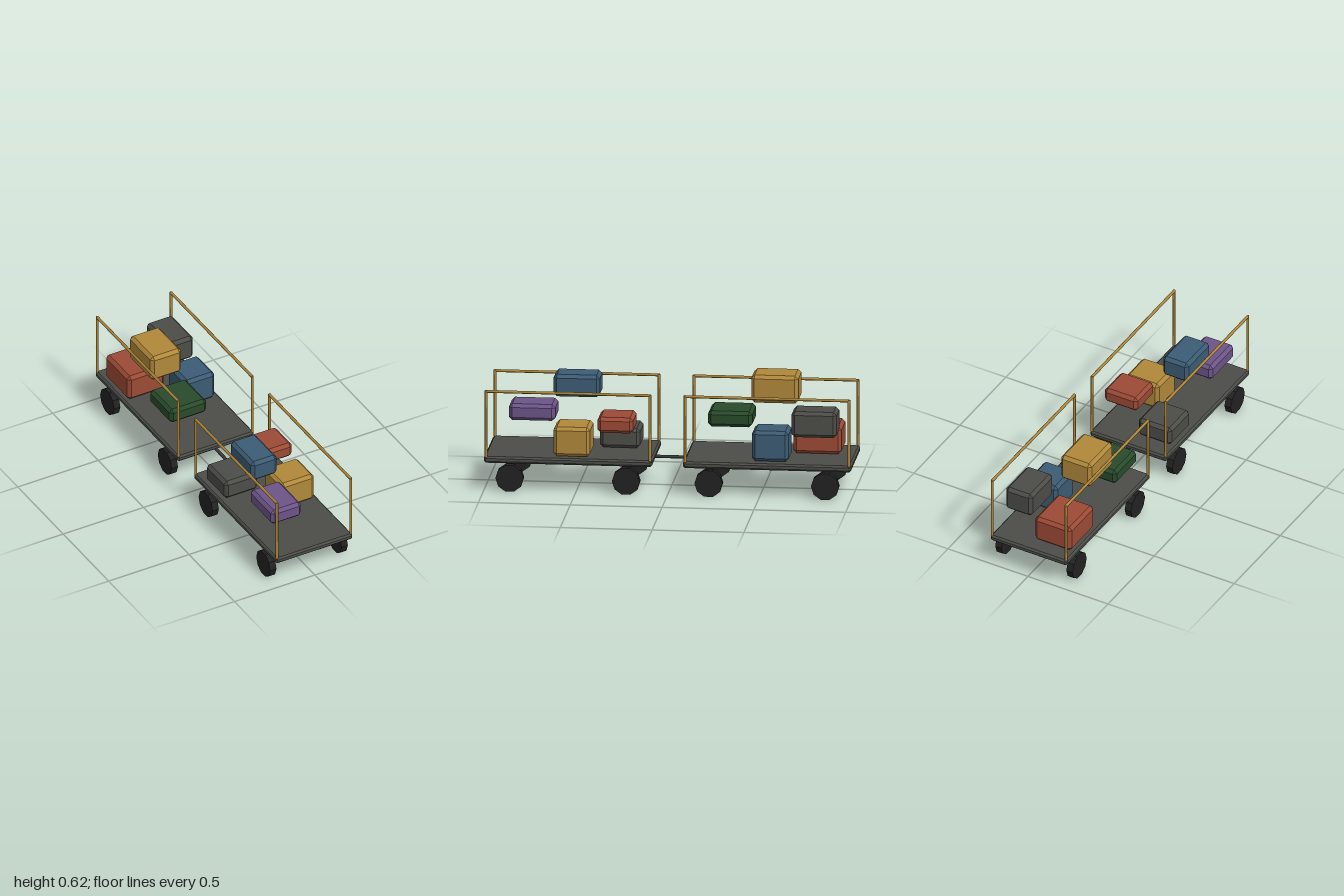
import * as THREE from 'three';
import { ConvexGeometry } from 'three/addons/geometries/ConvexGeometry.js';

const material = (name, color) => {
  const m = new THREE.MeshStandardMaterial({ color });
  m.name = name;
  return m;
};

// Box with every edge cut by one flat chamfer
function chamferBox(w, h, d, b) {
  const points = [];
  for (const sx of [-1, 1]) for (const sy of [-1, 1]) for (const sz of [-1, 1]) {
    const x = w / 2, y = h / 2, z = d / 2;
    points.push(
      new THREE.Vector3(sx * x, sy * (y - b), sz * (z - b)),
      new THREE.Vector3(sx * (x - b), sy * y, sz * (z - b)),
      new THREE.Vector3(sx * (x - b), sy * (y - b), sz * z));
  }
  return new ConvexGeometry(points);
}

export function createModel() {
  const colors = {
    grey: material('charcoal grey', 0x4c4c48),
    yellow: material('ochre yellow', 0xb0883a),
    red: material('brick red', 0x9c4a35),
    blue: material('steel blue', 0x3c5c74),
    purple: material('muted purple', 0x6c5488),
    green: material('forest green', 0x294a2b),
    black: material('tyre black', 0x222222),
    dark: material('hitch grey', 0x3a3a3a),
  };
  colors.black.flatShading = true;

  const add = (parent, name, geometry, mat, x, y, z) => {
    const mesh = new THREE.Mesh(geometry, mat);
    mesh.name = name;
    mesh.position.set(x, y, z);
    parent.add(mesh);
    return mesh;
  };

  // Chamfered block given by its limits
  const block = (parent, name, mat, x0, x1, y0, y1, z0, z1, bevel) =>
    add(parent, name, chamferBox(x1 - x0, y1 - y0, z1 - z0, bevel), mat,
      (x0 + x1) / 2, (y0 + y1) / 2, (z0 + z1) / 2);

  const model = new THREE.Group();
  model.name = 'luggageCarts';

  const wheelGeometry = new THREE.CylinderGeometry(0.0765, 0.0765, 0.039, 10).rotateZ(Math.PI / 2);
  const postGeometry = new THREE.CylinderGeometry(0.008, 0.008, 0.372, 6);
  const railGeometry = new THREE.CylinderGeometry(0.008, 0.008, 0.9, 6).rotateX(Math.PI / 2);

  // Cart: deck, four wheels and two side rails
  function makeCart(name, z) {
    const cart = new THREE.Group();
    cart.name = name;
    cart.position.z = z;
    add(cart, 'deck', chamferBox(0.476, 0.036, 0.916, 0.01), colors.grey, 0, 0.172, 0);
    for (const side of [-1, 1]) {
      for (const end of [-1, 1]) {
        add(cart, 'wheel', wheelGeometry, colors.black, side * 0.222, 0.0728, end * 0.317);
        add(cart, 'railPost', postGeometry, colors.yellow, side * 0.23, 0.372, end * 0.446);
      }
      add(cart, 'topRail', railGeometry, colors.yellow, side * 0.23, 0.553, 0);
    }
    model.add(cart);
  }
  makeCart('frontCart', 0.542);
  makeCart('rearCart', -0.542);

  // Tow bar between the carts
  add(model, 'towBar', new THREE.CylinderGeometry(0.009, 0.009, 0.24, 6).rotateX(Math.PI / 2),
    colors.dark, 0, 0.157, 0.01);

  // Luggage: colour, then x, y and z limits
  const luggage = [
    ['purple', -0.204, -0.018, 0.33, 0.421, 0.639, 0.892],
    ['blue', -0.192, -0.032, 0.465, 0.588, 0.398, 0.65],
    ['grey', -0.214, -0.007, 0.194, 0.304, 0.176, 0.394],
    ['yellow', 0.007, 0.214, 0.194, 0.357, 0.425, 0.624],
    ['red', 0.006, 0.212, 0.33, 0.417, 0.19, 0.385],
    ['green', -0.221, 0.007, 0.33, 0.417, -0.436, -0.195],
    ['yellow', -0.207, -0.017, 0.463, 0.617, -0.684, -0.428],
    ['blue', 0.02, 0.206, 0.194, 0.363, -0.656, -0.456],
    ['red', -0.221, 0.007, 0.194, 0.346, -0.922, -0.66],
    ['grey', 0.028, 0.194, 0.33, 0.473, -0.916, -0.67],
  ];
  for (const [color, ...limits] of luggage) {
    block(model, color + 'Suitcase', colors[color], ...limits, 0.018);
  }
  return model;
}
